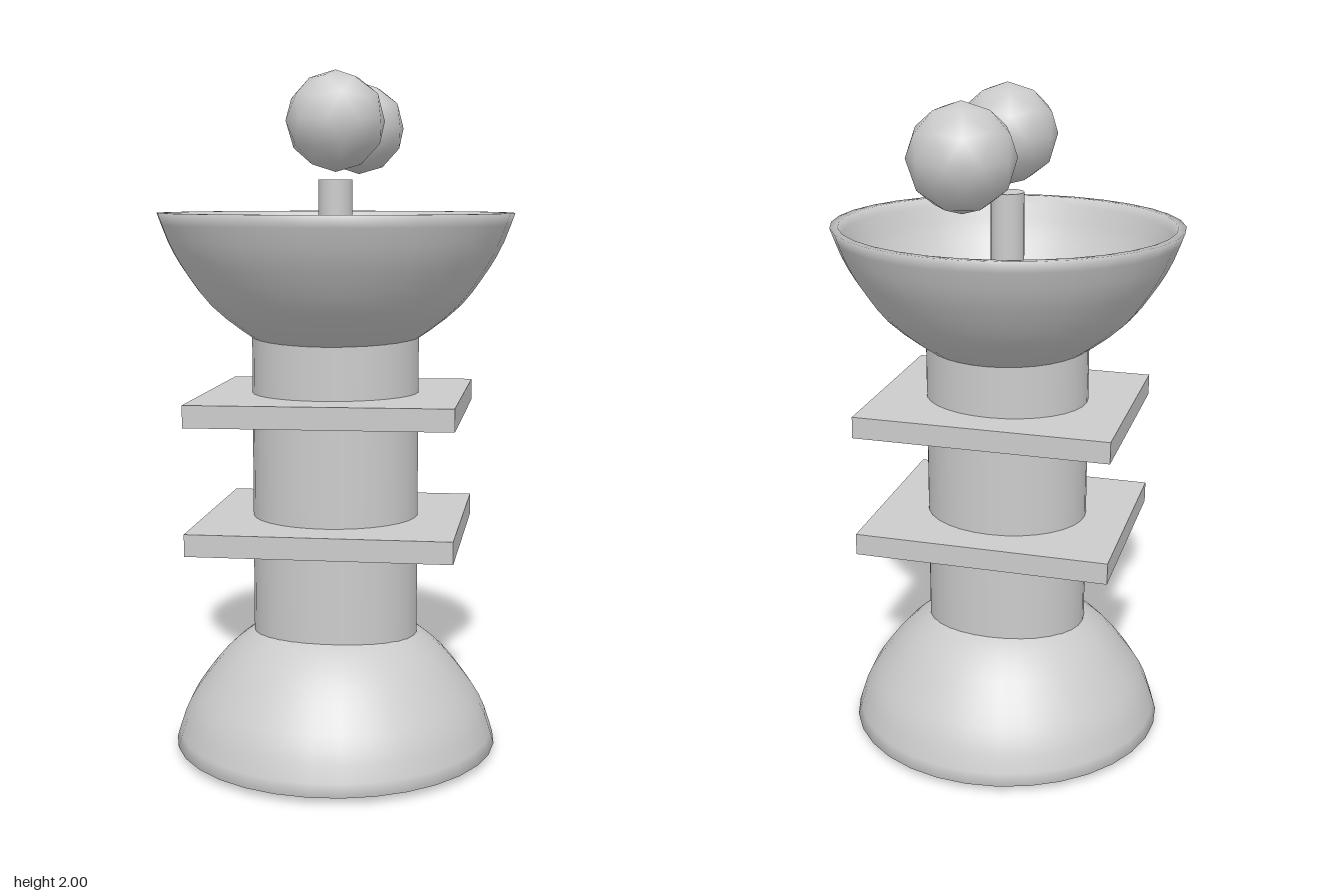
import * as THREE from 'three';

const material = new THREE.MeshStandardMaterial({ color: 0xcccccc });
const AXIS_Z = 0.063; // the tower stands slightly forward of the centre

function add(group, name, geometry, x, y, z) {
  const mesh = new THREE.Mesh(geometry, material);
  mesh.name = name;
  mesh.position.set(x, y, z);
  group.add(mesh);
  return mesh;
}

// Closed, thin-walled bowl: outer profile runs bottom to top, inner wall is offset from it
function bowl(profile, thickness, rimAtTop) {
  const curve = new THREE.SplineCurve(profile.map(([r, y]) => new THREE.Vector2(r, y)));
  const steps = 12;
  const outer = [], inner = [];
  for (let i = 0; i <= steps; i++) {
    const p = curve.getPoint(i / steps);
    const t = curve.getTangent(i / steps);
    outer.push(p);
    inner.push(new THREE.Vector2(p.x - t.y * thickness, p.y + t.x * thickness));
  }
  // level the lip
  if (rimAtTop) inner[steps].y = outer[steps].y;
  else inner[0].y = outer[0].y;
  inner.reverse();
  const points = rimAtTop ? [...outer, ...inner] : [...inner, ...outer];
  return new THREE.LatheGeometry(points, 32);
}

// Low-poly ball with a vertex at each pole
function ball(radius) {
  const geometry = new THREE.IcosahedronGeometry(radius, 1);
  geometry.rotateZ(Math.atan(2 / (1 + Math.sqrt(5))));
  return geometry;
}

export function createModel() {
  const model = new THREE.Group();
  model.name = 'tower';

  // Oval column from the ground up into the upper bowl
  const column = add(model, 'column', new THREE.CylinderGeometry(0.245, 0.245, 1.33, 32), 0, 0.665, AXIS_Z);
  column.scale.z = 0.88;

  // Downturned base bowl
  add(model, 'baseBowl', bowl([
    [0.48, 0.02], [0.447, 0.12], [0.398, 0.2], [0.325, 0.29], [0.245, 0.355], [0.19, 0.38],
  ], 0.02, false), 0, 0, AXIS_Z);

  // Upturned top bowl
  const topBowl = add(model, 'topBowl', bowl([
    [0.19, 1.21], [0.25, 1.24], [0.36, 1.326], [0.43, 1.416], [0.48, 1.5], [0.517, 1.596],
  ], 0.025, true), 0, 0, AXIS_Z);
  topBowl.scale.z = 0.944;

  // Two slightly tilted square plates around the column
  for (const [name, y] of [['lowerPlate', 0.677], ['upperPlate', 1.043]]) {
    add(model, name, new THREE.BoxGeometry(0.756, 0.064, 0.65), 0, y, AXIS_Z + 0.002).rotation.z = 0.01;
  }

  // Post in the top bowl
  add(model, 'post', new THREE.CylinderGeometry(0.049, 0.049, 0.39, 24), 0, 1.495, AXIS_Z);

  // Floating balls, one above the post and one behind
  add(model, 'centreBall', ball(0.144), 0, 1.856, AXIS_Z);
  add(model, 'rearBall', ball(0.144), 0, 1.856, -0.402);

  return model;
}
